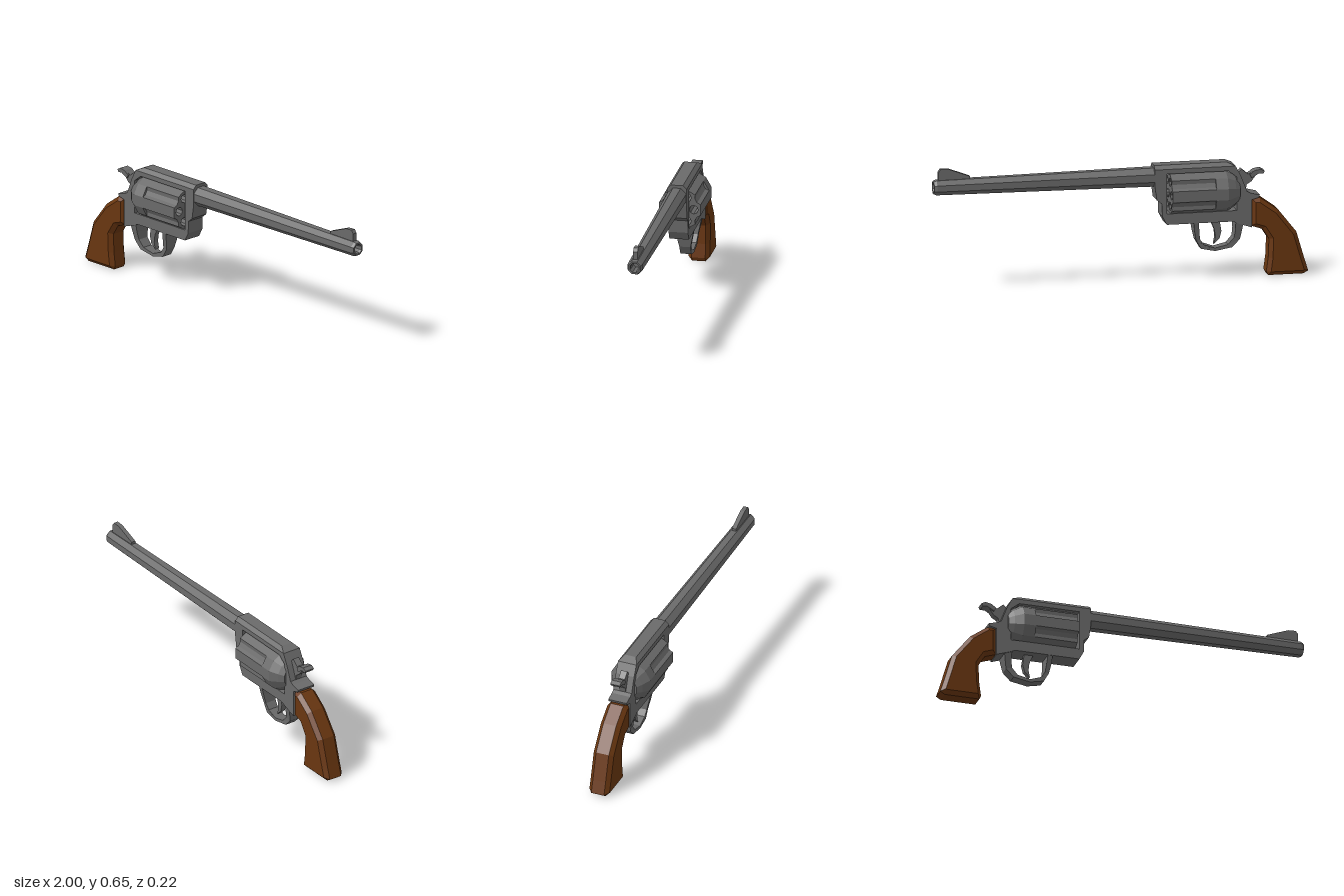
import * as THREE from 'three';

const metal = new THREE.MeshStandardMaterial({ color: 0x6a6a6a });
metal.name = 'gunmetal';
const wood = new THREE.MeshStandardMaterial({ color: 0x693610 });
wood.name = 'brownWood';

// Hard-edged mesh: every face gets its own normal
function facet(name, geo, material = metal) {
  const g = geo.index ? geo.toNonIndexed() : geo;
  g.computeVertexNormals();
  const mesh = new THREE.Mesh(g, material);
  mesh.name = name;
  return mesh;
}

const toPoints = (pts) => pts.map(([x, y]) => new THREE.Vector2(x, y));

// Side outline extruded symmetrically about z = 0
function plate(pts, half, { hole, bevel = 0 } = {}) {
  const shape = new THREE.Shape(toPoints(pts));
  if (hole) shape.holes.push(new THREE.Path(toPoints(hole)));
  const depth = 2 * (half - bevel);
  const geo = new THREE.ExtrudeGeometry(shape, {
    depth, bevelEnabled: bevel > 0, bevelSize: bevel, bevelThickness: bevel,
    bevelOffset: -bevel, bevelSegments: 1,
  });
  return geo.translate(0, 0, -depth / 2);
}

// Turned part along x; profile is [radius, x]
function turned(profile, sides, y) {
  const geo = new THREE.LatheGeometry(toPoints(profile), sides, Math.PI / sides);
  return geo.rotateZ(-Math.PI / 2).translate(0, y, 0);
}

// Moves every vertex by a rule
function reshape(geo, rule) {
  const p = geo.attributes.position;
  const v = new THREE.Vector3();
  for (let i = 0; i < p.count; i++) {
    v.fromBufferAttribute(p, i);
    rule(v);
    p.setXYZ(i, v.x, v.y, v.z);
  }
  return geo;
}

function polar(r, deg) {
  const a = THREE.MathUtils.degToRad(deg);
  return [r * Math.cos(a), r * Math.sin(a)];
}

// Rotating cylinder: full rear drum, fluted front with six chambers
function buildCylinder() {
  const group = new THREE.Group();
  group.name = 'cylinder';
  const y = 0.462;
  group.add(facet('cylinderRear', turned(
    [[0, -0.632], [0.066, -0.632], [0.088, -0.605], [0.115, -0.56], [0.115, -0.495], [0, -0.495]], 12, y)));

  const outline = [];
  for (let k = 0; k < 6; k++) {
    const a = k * 60;
    outline.push(polar(0.115, a - 15), polar(0.115, a + 15),
      polar(0.1, a + 23), polar(0.1, a + 37));
  }
  const shape = new THREE.Shape(toPoints(outline));
  for (let k = 0; k < 6; k++) {
    const [cx, cy] = polar(0.074, k * 60);
    const ring = [];
    for (let j = 0; j < 8; j++) {
      const [dx, dy] = polar(0.024, j * 45);
      ring.push([cx + dx, cy + dy]);
    }
    shape.holes.push(new THREE.Path(toPoints(ring)));
  }
  const front = new THREE.ExtrudeGeometry(shape, { depth: 0.235, bevelEnabled: false });
  front.rotateY(Math.PI / 2).translate(-0.495, y, 0);
  group.add(facet('cylinderFront', front));
  group.add(facet('cylinderPin', turned(
    [[0, -0.27], [0.022, -0.27], [0.022, -0.24], [0, -0.24]], 8, y)));
  return group;
}

export function createModel() {
  const model = new THREE.Group();
  model.name = 'revolver';

  // Frame with an open window for the cylinder
  model.add(facet('frame', plate([
    [-0.695, 0.265], [-0.62, 0.29], [-0.594, 0.302], [-0.24, 0.302], [-0.216, 0.347],
    [-0.214, 0.414], [-0.187, 0.436], [-0.176, 0.51], [-0.176, 0.6], [-0.608, 0.6],
    [-0.638, 0.543], [-0.67, 0.46], [-0.69, 0.45], [-0.738, 0.438], [-0.733, 0.424], [-0.695, 0.414],
  ], 0.052, {
    hole: [[-0.615, 0.36], [-0.24, 0.36], [-0.24, 0.575], [-0.57, 0.575], [-0.615, 0.54]],
  })));

  // Chamfered top strap, sloping at the back
  const strap = new THREE.BoxGeometry(0.432, 0.02, 0.104).translate(-0.392, 0.61, 0);
  model.add(facet('topStrap', reshape(strap, (v) => {
    if (v.y < 0.61) return;
    v.z *= 0.63;
    if (v.x < -0.4) v.x = -0.565;
  })));

  model.add(buildCylinder());

  // Tapered octagonal barrel with a hollow muzzle
  model.add(facet('barrel', turned([
    [0, -0.2], [0.0545, -0.2], [0.042, 0.985], [0.036, 1], [0.027, 1],
    [0.023, 0.99], [0.023, 0.92], [0, 0.92],
  ], 8, 0.554)));

  model.add(facet('frontSight', plate([
    [0.805, 0.585], [0.975, 0.58], [0.975, 0.635], [0.962, 0.653], [0.92, 0.651], [0.805, 0.608],
  ], 0.012)));

  // Hammer body and its wider thumb spur
  model.add(facet('hammer', plate([
    [-0.64, 0.48], [-0.625, 0.55], [-0.647, 0.574], [-0.682, 0.545], [-0.712, 0.56],
    [-0.722, 0.535], [-0.7, 0.505], [-0.675, 0.49], [-0.67, 0.46],
  ], 0.018)));
  model.add(facet('hammerSpur', plate([
    [-0.7, 0.525], [-0.69, 0.545], [-0.716, 0.564], [-0.749, 0.57], [-0.77, 0.559],
    [-0.762, 0.545], [-0.738, 0.547],
  ], 0.027)));

  // Trigger guard, narrowing towards the bottom
  const guard = plate([
    [-0.652, 0.3], [-0.645, 0.25], [-0.636, 0.2], [-0.594, 0.158], [-0.503, 0.142],
    [-0.428, 0.158], [-0.401, 0.205], [-0.39, 0.26], [-0.385, 0.305], [-0.412, 0.305],
    [-0.416, 0.26], [-0.422, 0.21], [-0.444, 0.179], [-0.503, 0.158], [-0.572, 0.174],
    [-0.604, 0.21], [-0.61, 0.25], [-0.61, 0.305],
  ], 0.05);
  model.add(facet('triggerGuard', reshape(guard, (v) => {
    v.z *= THREE.MathUtils.mapLinear(THREE.MathUtils.clamp(v.y, 0.2, 0.3), 0.2, 0.3, 0.58, 1);
  })));

  model.add(facet('trigger', plate([
    [-0.53, 0.31], [-0.54, 0.245], [-0.53, 0.205], [-0.5, 0.176], [-0.508, 0.215],
    [-0.503, 0.255], [-0.48, 0.31],
  ], 0.014)));

  // Curved grip with chamfered edges
  model.add(facet('grip', plate([
    [-0.975, 0], [-0.785, 0], [-0.776, 0.02], [-0.786, 0.095], [-0.79, 0.195], [-0.755, 0.25],
    [-0.695, 0.27], [-0.695, 0.418], [-0.743, 0.42], [-0.838, 0.352], [-0.936, 0.228],
    [-0.978, 0.085], [-1, 0.015],
  ], 0.057, { bevel: 0.021 }), wood));

  return model;
}
